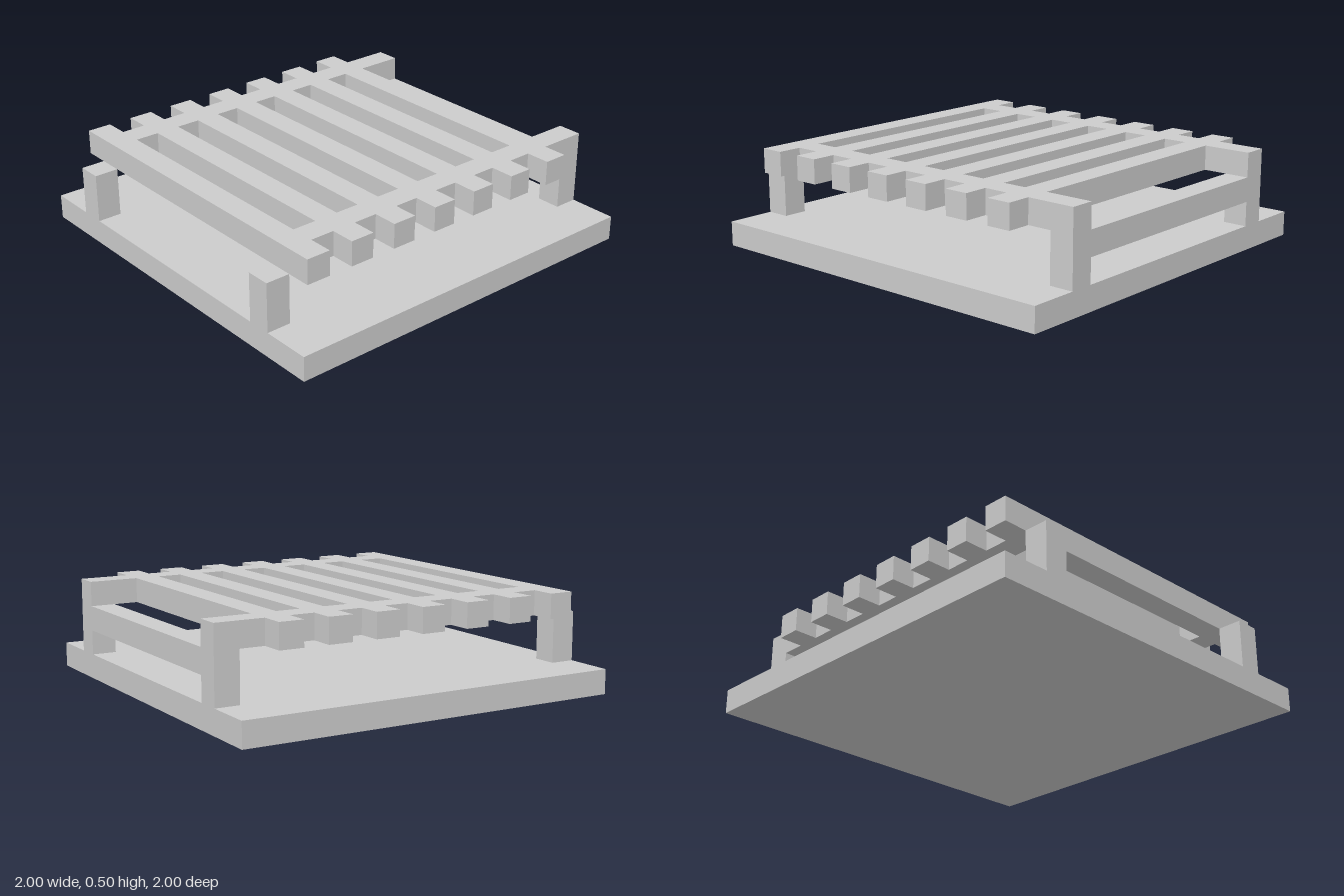
import * as THREE from 'three';

const U = 0.125; // thickness shared by every beam

export function createModel() {
  const group = new THREE.Group();
  const material = new THREE.MeshStandardMaterial({ color: 0xcccccc, flatShading: true });

  const add = (name, geometry) => {
    const mesh = new THREE.Mesh(geometry, material);
    mesh.name = name;
    group.add(mesh);
    return mesh;
  };
  const box = (name, w, h, d, x, y, z) =>
    add(name, new THREE.BoxGeometry(w, h, d)).position.set(x, y, z);

  // Ground slab
  box('base', 2, U, 2, 0, U / 2, 0);

  // Four posts; the deck rails rest on the back pair
  for (const x of [-0.6875, 0.6875]) {
    box('frontPost', U, 2 * U, U, x, 2 * U, 0.9375);
    box('backPost', U, 2 * U, U, x, 2 * U, -0.9375);
  }

  // Crossbar between the back posts
  box('backCrossbar', 1.25, U, U, 0, 2.5 * U, -0.9375);

  // Slatted deck: two rails joined by seven slats whose ends stick out
  const inner = 0.625, rail = 0.75, end = 0.875;
  const slats = Array.from({ length: 7 }, (_, i) => -0.75 + i * 2 * U); // back edge of each
  const side = [[rail, -1]];
  for (const z of slats) side.push([rail, z], [end, z], [end, z + U], [rail, z + U]);
  side.pop(); // the front slat ends the deck
  const points = [
    ...side,
    ...side.map(([x, z]) => [-x, z]).reverse(),
    [-inner, -1], [-inner, slats[0]], [inner, slats[0]], [inner, -1],
  ].map(([x, z]) => new THREE.Vector2(x, z));
  const deck = new THREE.Shape(points);

  // Open slots between neighbouring slats
  for (const z of slats.slice(0, -1)) {
    const a = z + U, b = z + 2 * U;
    deck.holes.push(new THREE.Path(
      [[-inner, a], [-inner, b], [inner, b], [inner, a]].map(([x, y]) => new THREE.Vector2(x, y))
    ));
  }
  const deckGeometry = new THREE.ExtrudeGeometry(deck, { depth: U, bevelEnabled: false });
  deckGeometry.rotateX(Math.PI / 2).translate(0, 4 * U, 0);
  add('slattedDeck', deckGeometry);

  return group;
}
